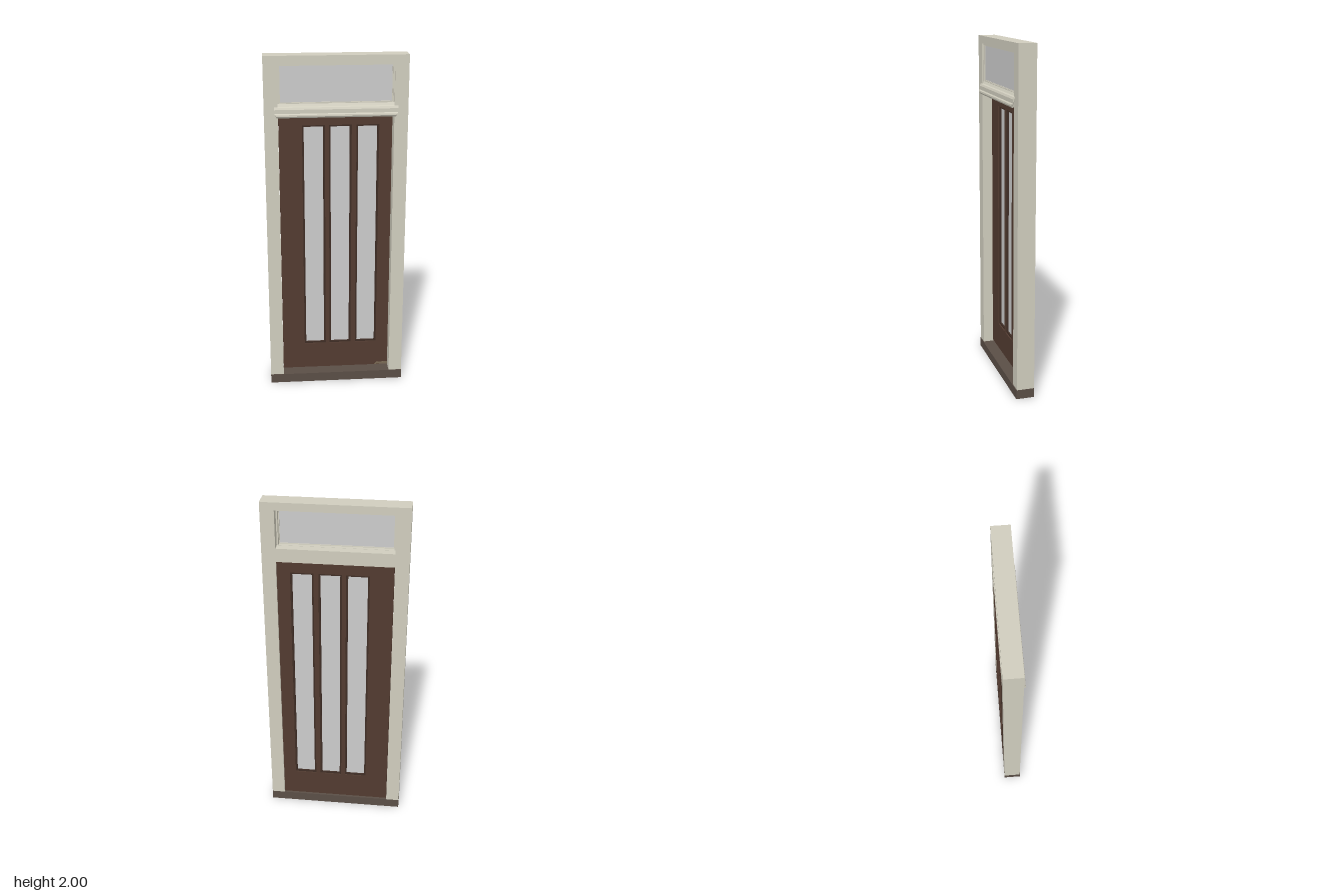
import * as THREE from 'three';

const paint = (color) => new THREE.MeshStandardMaterial({ color, flatShading: true });

// rectangle outline x0..x1, y0..y1, used as shape or hole
function rect(Type, x0, x1, y0, y1) {
  const r = new Type();
  r.moveTo(x0, y0);
  r.lineTo(x1, y0);
  r.lineTo(x1, y1);
  r.lineTo(x0, y1);
  r.closePath();
  return r;
}

export function createModel() {
  const model = new THREE.Group();
  model.name = 'entranceDoor';

  const cream = paint(0xd0cdbe);
  const brown = paint(0x523b30);
  const darkBrown = paint(0x3f2d25);
  const stone = paint(0x5a4e46);
  const glass = new THREE.MeshStandardMaterial({ color: 0xcccccc });

  const add = (name, geometry, material) => {
    const mesh = new THREE.Mesh(geometry, material);
    mesh.name = name;
    model.add(mesh);
    return mesh;
  };
  const box = (name, material, x0, x1, y0, y1, z0, z1) =>
    add(name, new THREE.BoxGeometry(x1 - x0, y1 - y0, z1 - z0), material)
      .position.set((x0 + x1) / 2, (y0 + y1) / 2, (z0 + z1) / 2);
  // flat panel z0..z1 with rectangular holes
  const panel = (name, material, outer, holes, z0, z1) => {
    const shape = rect(THREE.Shape, ...outer);
    for (const h of holes) shape.holes.push(rect(THREE.Path, ...h));
    const g = new THREE.ExtrudeGeometry(shape, { depth: z1 - z0, bevelEnabled: false });
    add(name, g.translate(0, 0, z0), material);
  };
  // profile of [z, y] points swept along x
  const sweep = (name, material, points, half) => {
    const shape = new THREE.Shape(points.map(([z, y]) => new THREE.Vector2(-z, y)));
    const g = new THREE.ExtrudeGeometry(shape, { depth: half * 2, bevelEnabled: false });
    g.translate(0, 0, -half).rotateY(Math.PI / 2);
    return add(name, g, material);
  };

  const W = 0.403, IN = 0.325, BACK = -0.06, FRONT = 0.042;

  // outer frame
  box('sill', stone, -W, W, 0, 0.055, BACK, 0.046);
  box('headFrame', cream, -W, W, 1.955, 2, BACK, FRONT);
  box('leftJamb', cream, IN, W, 0.055, 1.955, BACK, FRONT);
  box('rightJamb', cream, -W, -IN, 0.055, 1.955, BACK, FRONT);

  // transom bar, its top sloping to the front
  sweep('transomBar', cream,
    [[BACK, 1.66], [FRONT, 1.66], [FRONT, 1.712], [0.025, 1.738], [BACK, 1.738]], IN);

  // drip moulding on the transom bar, narrowing at the lower and outer edges
  const drip = sweep('dripMoulding', cream,
    [[0.038, 1.662], [0.054, 1.659], [0.06, 1.668], [0.059, 1.677], [0.053, 1.683],
      [0.053, 1.705], [0.047, 1.716], [0.038, 1.72]], 0.345);
  const p = drip.geometry.attributes.position;
  for (let i = 0; i < p.count; i++) {
    const inset = p.getY(i) < 1.672 ? 0.012 : p.getZ(i) > 0.055 ? 0.005 : 0;
    p.setX(i, p.getX(i) - Math.sign(p.getX(i)) * inset);
  }
  drip.geometry.computeVertexNormals();

  // fanlight: stepped bead and pane near the front
  panel('fanlightStop', cream, [-IN, IN, 1.735, 1.955],
    [[-IN + 0.008, IN - 0.008, 1.739, 1.947]], -0.012, 0.034);
  panel('fanlightBead', cream, [-IN, IN, 1.735, 1.955],
    [[-IN + 0.013, IN - 0.013, 1.742, 1.943]], 0.012, 0.028);
  box('fanlightGlass', glass, -0.316, 0.316, 1.735, 1.95, 0.019, 0.024);

  // door leaf with three tall lights
  const lights = [-0.126, 0.027, 0.184].map((x) => [x - 0.065, x + 0.065, 0.226, 1.6]);
  panel('doorLeaf', brown, [-0.323, 0.323, 0.065, 1.66], lights, -0.058, -0.018);
  for (const [x0, x1, y0, y1] of lights) {
    const b = 0.01;
    panel('lightBead', darkBrown, [x0, x1, y0, y1],
      [[x0 + b, x1 - b, y0 + b, y1 - b]], -0.052, -0.026);
    box('lightGlass', glass, x0 + 0.004, x1 - 0.004, y0 + 0.004, y1 - 0.004, -0.042, -0.036);
  }

  // small wedge at the foot of the door
  const wedge = new THREE.Shape([[0.24, 0.067], [0.322, 0.067], [0.322, 0.084], [0.255, 0.08]]
    .map(([x, y]) => new THREE.Vector2(x, y)));
  add('footWedge', new THREE.ExtrudeGeometry(wedge, { depth: 0.004, bevelEnabled: false })
    .translate(0, 0, -0.02), paint(0x7a6a55));

  return model;
}
